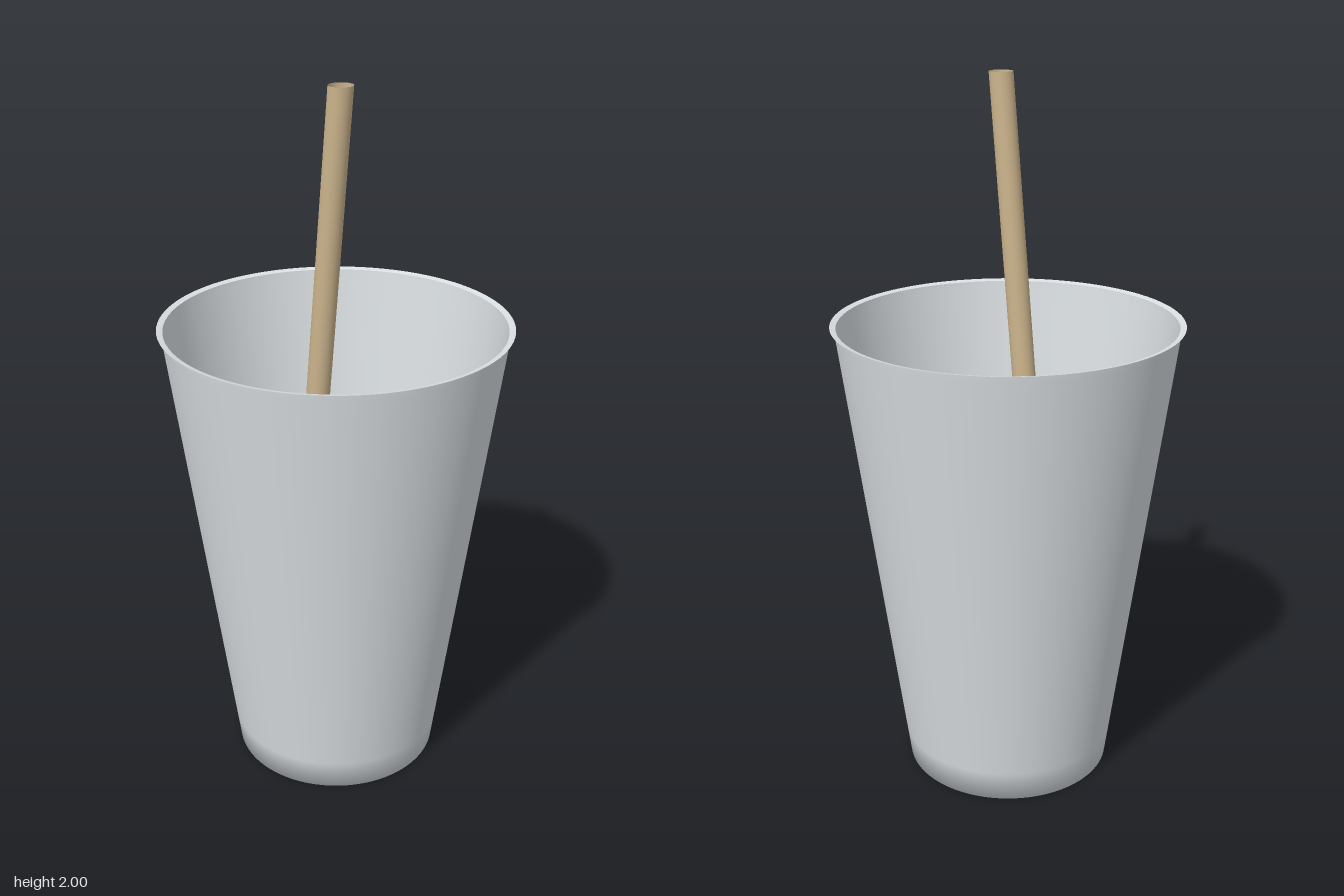
import * as THREE from 'three';

const cupMaterial = new THREE.MeshStandardMaterial({ name: 'paleGrey', color: 0xd9dee1, side: THREE.DoubleSide });
const strawMaterial = new THREE.MeshStandardMaterial({ name: 'tan', color: 0xcbb48c, side: THREE.DoubleSide });

function named(name, geometry, material) {
  const mesh = new THREE.Mesh(geometry, material);
  mesh.name = name;
  return mesh;
}

// Turned surface from [radius, height] pairs
function turned(profile) {
  return new THREE.LatheGeometry(profile.map(([r, y]) => new THREE.Vector2(r, y)), 96);
}

export function createModel() {
  const model = new THREE.Group();
  model.name = 'cupWithStraw';

  // Thin tapered cup; short loops beside the base corner soften it
  const cup = turned([[0, 0], [0.22, 0], [0.297, 0], [0.309, 0.09], [0.473, 1.32], [0.475, 1.338]]);
  model.add(named('cup', cup, cupMaterial));

  // Narrow flat lip around the opening
  const lip = turned([[0.47, 1.338], [0.487, 1.342]]);
  model.add(named('lip', lip, cupMaterial));

  // Hollow straw, sheared so both ends are cut level
  const bottom = new THREE.Vector3(-0.12, 0.03, 0.06);
  const top = new THREE.Vector3(0.07, 2, 0.06);
  const height = top.y - bottom.y;
  const straw = new THREE.CylinderGeometry(0.033, 0.033, height, 32, 1, true);
  const shear = new THREE.Matrix4();
  shear.elements[4] = (top.x - bottom.x) / height;
  straw.applyMatrix4(shear);
  straw.translate((top.x + bottom.x) / 2, (top.y + bottom.y) / 2, bottom.z);
  model.add(named('straw', straw, strawMaterial));

  return model;
}
